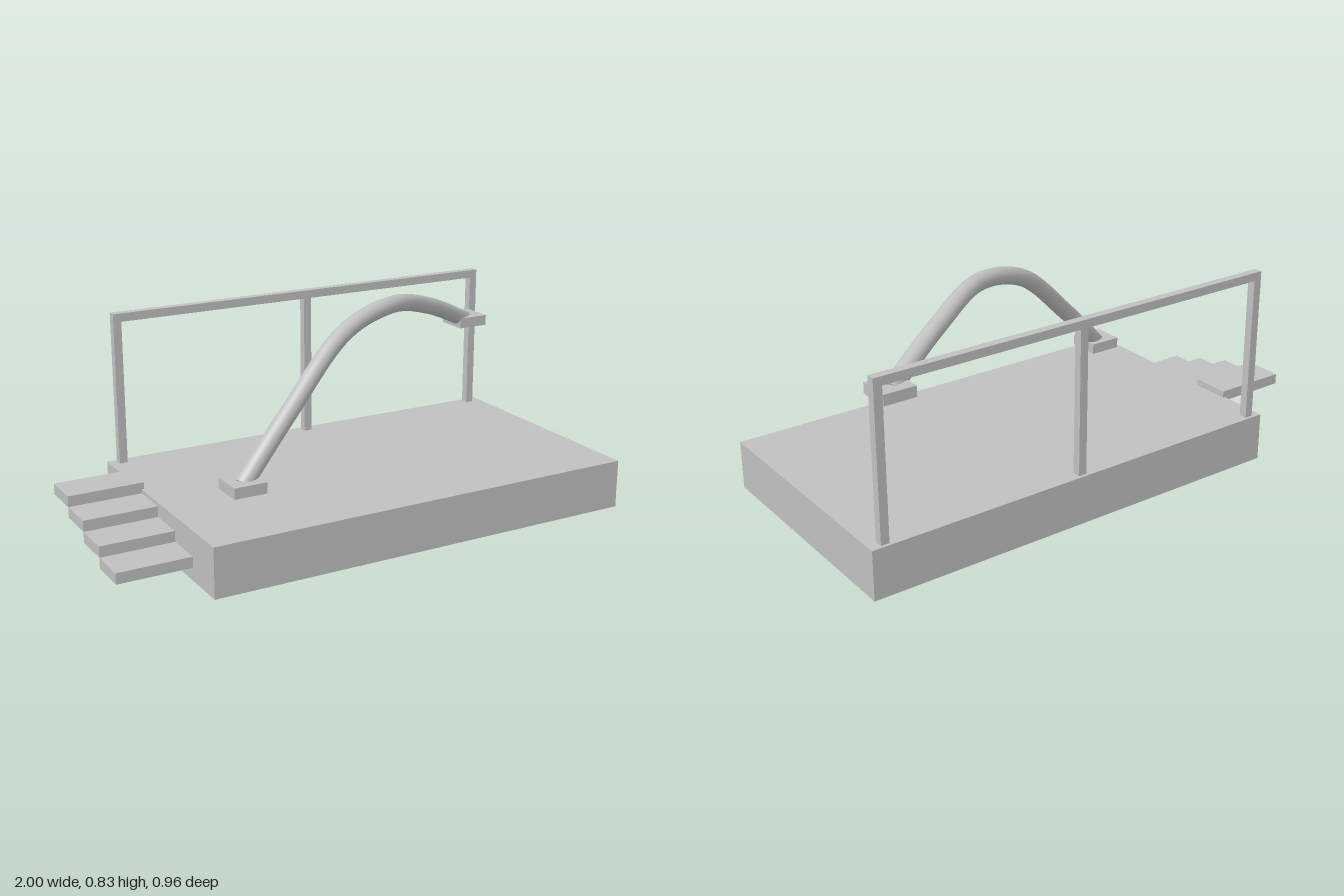
import * as THREE from 'three';

export function createModel() {
  const model = new THREE.Group();
  model.name = 'stageWithArch';
  const grey = new THREE.MeshStandardMaterial({ color: 0xc0c0c0 });
  grey.name = 'light grey';

  function box(name, w, h, d, x, y, z, parent = model) {
    const mesh = new THREE.Mesh(new THREE.BoxGeometry(w, h, d), grey);
    mesh.name = name;
    mesh.position.set(x, y, z);
    parent.add(mesh);
    return mesh;
  }

  // Platform
  const deckTop = 0.188;
  box('platform', 1.718, deckTop, 0.964, 0.139, deckTop / 2, 0);

  // Railing along the back edge
  const railing = new THREE.Group();
  railing.name = 'railing';
  model.add(railing);
  const bar = 0.032, railTop = 0.775, railZ = -0.454;
  for (const x of [-0.669, 0.138, 0.942]) {
    const h = railTop - bar - deckTop;
    box('railPost', bar, h, bar, x, deckTop + h / 2, railZ, railing);
  }
  box('topRail', 1.643, bar, bar, 0.1365, railTop - bar / 2, railZ, railing);

  // Steps descending toward the front
  const steps = new THREE.Group();
  steps.name = 'steps';
  model.add(steps);
  for (let i = 0; i < 4; i++) {
    box('step', 0.29, 0.041, 0.149, -0.855, 0.1935 - i * 0.041, -0.21 + i * 0.149, steps);
  }

  // Curved tube rising from one pad to the other
  const curve = new THREE.CatmullRomCurve3([
    [-0.505, 0.296, 0.268], [-0.29, 0.5, 0.197], [0, 0.735, 0.09],
    [0.25, 0.793, 0.005], [0.5, 0.737, -0.128], [0.783, 0.618, -0.268],
  ].map((p) => new THREE.Vector3(...p)));
  const radius = 0.033;
  const tube = new THREE.Mesh(new THREE.TubeGeometry(curve, 64, radius, 24), grey);
  tube.name = 'archTube';
  model.add(tube);

  // End caps and the pad around each end
  for (const t of [0, 1]) {
    const end = curve.getPoint(t);
    const outward = curve.getTangent(t).multiplyScalar(t ? 1 : -1);
    const cap = new THREE.Mesh(new THREE.CircleGeometry(radius, 24), grey);
    cap.name = 'tubeCap';
    cap.position.copy(end);
    cap.lookAt(end.clone().add(outward));
    model.add(cap);
    box('endPad', 0.126, 0.041, 0.127, end.x, end.y, end.z);
  }
  return model;
}
